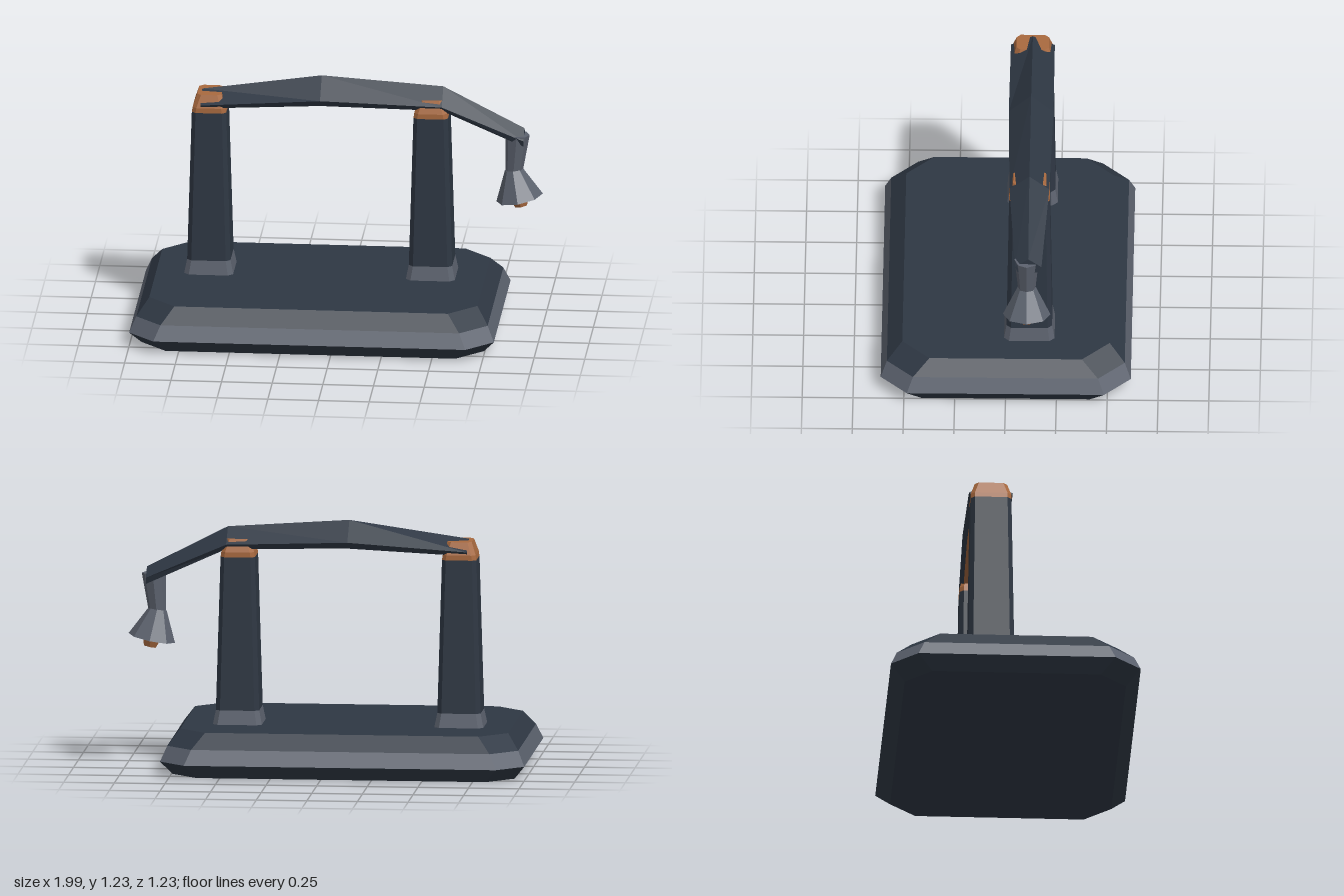
import * as THREE from 'three';

const flat = (name, color) => {
  const m = new THREE.MeshStandardMaterial({ color, flatShading: true });
  m.name = name;
  return m;
};

// Faceted skin over matching rings, counter-clockwise seen from the far end.
// keep(i) selects which side strips are built.
function loft(rings, { keep = () => true, caps = true } = {}) {
  const pos = [];
  const tri = (...pts) => pts.forEach((p) => pos.push(...p));
  const n = rings[0].length;
  for (let r = 0; r < rings.length - 1; r++) {
    const a = rings[r], b = rings[r + 1];
    for (let i = 0; i < n; i++) {
      if (!keep(i)) continue;
      const j = (i + 1) % n;
      tri(a[i], a[j], b[j]);
      tri(a[i], b[j], b[i]);
    }
  }
  if (caps) {
    const a = rings[0], b = rings[rings.length - 1];
    for (let i = 1; i < n - 1; i++) {
      tri(a[0], a[i + 1], a[i]);
      tri(b[0], b[i], b[i + 1]);
    }
  }
  const g = new THREE.BufferGeometry();
  g.setAttribute('position', new THREE.Float32BufferAttribute(pos, 3));
  g.computeVertexNormals();
  return g;
}

// Rectangle with cut corners at height y
const cutRect = (y, hx, hz, c) => [
  [hx, y, hz - c], [hx, y, c - hz], [hx - c, y, -hz], [c - hx, y, -hz],
  [-hx, y, c - hz], [-hx, y, hz - c], [c - hx, y, hz], [hx - c, y, hz],
];

export function createModel() {
  const navy = flat('dark navy', 0x2e3743);
  const grey = flat('slate grey', 0x5b616d);
  const copper = flat('copper', 0xa8693f);

  const model = new THREE.Group();
  model.name = 'archedStand';
  const add = (parent, name, geometry, material, x = 0, y = 0, z = 0) => {
    const mesh = new THREE.Mesh(geometry, material);
    mesh.name = name;
    mesh.position.set(x, y, z);
    parent.add(mesh);
    return mesh;
  };

  // Base slab: three sloped bands
  const base = [
    cutRect(0, 0.845, 0.545, 0.13), cutRect(0.07, 0.9, 0.615, 0.13),
    cutRect(0.145, 0.867, 0.585, 0.13), cutRect(0.22, 0.81, 0.51, 0.135),
  ];
  ['baseBottom', 'baseBand', 'baseTop'].forEach((name, i) => {
    add(model, name, loft([base[i], base[i + 1]]), i === 1 ? grey : navy, -0.1);
  });

  // Two posts, each with a foot and a cap
  const axisZ = -0.114;
  for (const [name, x] of [['rightPost', -0.65], ['leftPost', 0.444]]) {
    const post = new THREE.Group();
    post.name = name;
    post.position.set(x, 0, axisZ);
    model.add(post);
    const foot = cutRect(0.29, 0.107, 0.112, 0.022);
    const head = cutRect(1.05, 0.085, 0.1, 0.02);
    add(post, 'postFoot', loft([cutRect(0.215, 0.122, 0.125, 0.025), foot]), grey);
    add(post, 'postShaft', loft([foot, head]), navy);
    add(post, 'postCap', loft([head, cutRect(1.075, 0.081, 0.1, 0.02), cutRect(1.138, 0.06, 0.08, 0.02)]), copper);
  }

  // Arched arm with a ridge on top: x, ridge, eave and bottom heights, half width
  const arm = [
    [-0.69, 1.145, 1.092, 1.07, 0.108],
    [-0.1, 1.23, 1.132, 1.1, 0.11],
    [0.5, 1.19, 1.112, 1.088, 0.098],
    [0.9, 0.985, 0.937, 0.905, 0.065],
  ].map(([x, ridge, eave, bottom, w]) => [
    [x, ridge, 0], [x, eave, w], [x, bottom, w * 0.8], [x, bottom, -w * 0.8], [x, eave, -w],
  ]);
  add(model, 'arm', loft(arm, { keep: (i) => i !== 2 }), navy, 0, 0, axisZ);
  add(model, 'armUnderside', loft(arm, { keep: (i) => i === 2, caps: false }), copper, 0, 0, axisZ);

  // Hanging lamp head: neck, flared shade and bulb
  const lampZ = -0.106;
  const neck = add(model, 'lampNeck', new THREE.CylinderGeometry(0.06, 0.042, 0.2, 8), grey, 0.858, 0.858, lampZ);
  neck.rotation.z = -0.09;
  const lamp = new THREE.Group();
  lamp.name = 'lampHead';
  lamp.position.set(0.877, 0.628, lampZ);
  lamp.rotation.z = 0.2;
  model.add(lamp);
  add(lamp, 'lampShade', new THREE.CylinderGeometry(0.044, 0.117, 0.15, 8), grey, 0, 0.075);
  add(lamp, 'lampBulb', new THREE.CylinderGeometry(0.055, 0.034, 0.06, 6), copper, 0, -0.012);

  return model;
}
